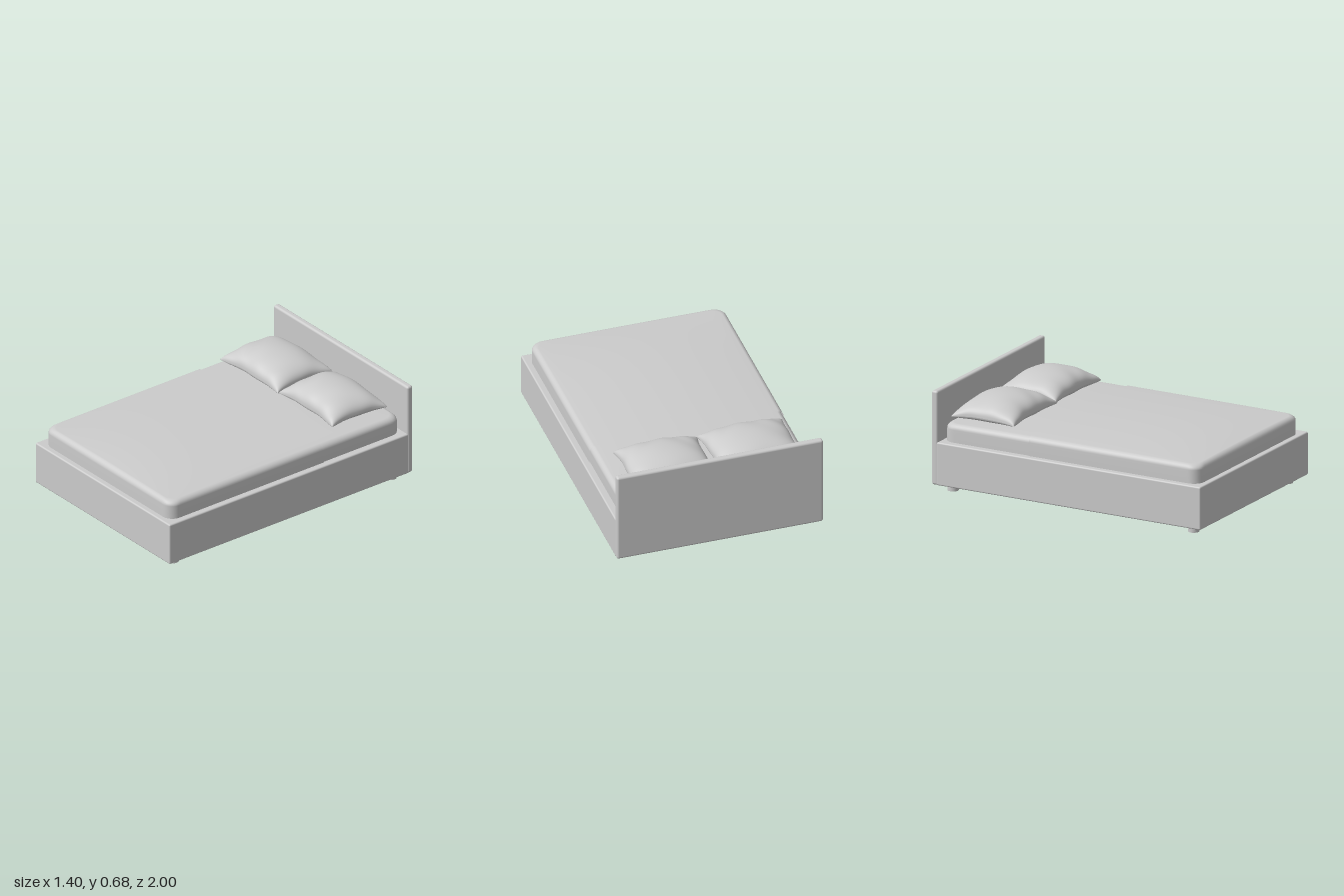
import * as THREE from 'three';
import { RoundedBoxGeometry } from 'three/addons/geometries/RoundedBoxGeometry.js';
import { ParametricGeometry } from 'three/addons/geometries/ParametricGeometry.js';
import { mergeGeometries } from 'three/addons/utils/BufferGeometryUtils.js';

const material = new THREE.MeshStandardMaterial({ color: 0xcccccc });
const clothMaterial = new THREE.MeshStandardMaterial({ color: 0xcccccc, side: THREE.DoubleSide });

function addMesh(parent, name, geometry, x = 0, y = 0, z = 0, mat = material) {
  const mesh = new THREE.Mesh(geometry, mat);
  mesh.name = name;
  mesh.position.set(x, y, z);
  parent.add(mesh);
  return mesh;
}

// Plan outline in (x, z); "open" leaves out the square back end
function outline(hx, z0, z1, r, open) {
  const p = new THREE.Path();
  const H = Math.PI / 2;
  if (open) p.moveTo(-hx, z0);
  else {
    p.moveTo(0, z0);
    p.lineTo(-hx + r, z0);
    p.absarc(-hx + r, z0 + r, r, -H, -Math.PI, true);
  }
  p.lineTo(-hx, z1 - r);
  p.absarc(-hx + r, z1 - r, r, Math.PI, H, true);
  p.lineTo(hx - r, z1 - r + r);
  p.absarc(hx - r, z1 - r, r, H, 0, true);
  if (open) p.lineTo(hx, z0);
  else {
    p.lineTo(hx, z0 + r);
    p.absarc(hx - r, z0 + r, r, 0, -H, true);
    p.lineTo(0, z0);
  }
  return p.getSpacedPoints(240);
}

// Soft slab: rings of the outline rise up the wall, round over and close on a crowned top
function softSlab(hx, z0, z1, corner, bottom, top, open) {
  const pts = outline(hx, z0, z1, corner, open);
  const cz = open ? z0 : (z0 + z1) / 2;
  const hz = z1 - cz;
  const r = 0.035;
  const rings = [[0, bottom], [0, (bottom + top - r) / 2]];
  for (let i = 0; i <= 6; i++) {
    const a = (i / 6) * Math.PI / 2;
    rings.push([r * (1 - Math.cos(a)), top - r + r * Math.sin(a)]);
  }
  for (let i = 1; i <= 12; i++) rings.push([r + (hx - r - 0.001) * i / 12, top]);
  const n = rings.length - 1;

  const geometry = new ParametricGeometry((u, v, target) => {
    const p = pts[Math.round(u * 240)];
    const [inset, y] = rings[Math.round(v * n)];
    const s = 1 - inset / hx;
    const edge = Math.min(inset, r) / r;
    const sx = inset <= r ? (hx - inset) / hx : s;
    const sz = inset <= r ? (hz - inset) / hz : (hz - r) / hz * s / (1 - r / hx);
    const x = p.x * sx;
    const z = cz + (p.y - cz) * sz;
    const crown = 0.028 * (1 - (x / 0.67) ** 2) * (1 - Math.abs(z / 0.97) ** 4);
    target.set(x, y + crown * edge, z);
  }, 240, n);
  geometry.computeVertexNormals();
  return geometry;
}

// Stuffed cushion: two domed sheets meeting at a seam that is pinched between the corners
function pillowGeometry(hx, hz, phase) {
  const sheet = (side) => {
    const g = new ParametricGeometry((a, b, target) => {
      const ta = (a - 0.5) * Math.PI;
      const tb = (0.5 - b) * Math.PI * side;
      const u = Math.sin(ta), v = Math.sin(tb);
      const cu = Math.max(0, Math.cos(ta)), cv = Math.max(0, Math.cos(tb));
      const x = hx * u * (1 - 0.075 * cv * cv + 0.012 * cv * cv * Math.sin(5 * v + phase));
      const z = hz * v * (1 - 0.08 * cu * cu + 0.02 * cu * cu * Math.sin(6 * u + phase));
      const dome = Math.pow(cu * cv, 0.8);
      const folds = 0.006 * Math.sin(9 * u * v + 4 * u + phase) * cu * cv * (u * u + v * v);
      const seam = -0.012 * u * u * v * v;
      const height = side > 0 ? 0.112 * dome + folds : -0.05 * dome;
      target.set(x, seam + height, z);
    }, 36, 36);
    g.computeVertexNormals();
    return g;
  };
  return mergeGeometries([sheet(1), sheet(-1)]);
}

export function createModel() {
  const bed = new THREE.Group();
  bed.name = 'bed';

  // Base and headboard
  addMesh(bed, 'bedFrame', new RoundedBoxGeometry(1.4, 0.29, 1.965, 3, 0.01), 0, 0.19, 0.0175);
  addMesh(bed, 'headboard', new RoundedBoxGeometry(1.4, 0.635, 0.045, 4, 0.015), 0, 0.3625, -0.9775);

  // Four short round feet
  for (const x of [-0.607, 0.607]) {
    for (const z of [-0.892, 0.898]) {
      addMesh(bed, 'foot', new THREE.CylinderGeometry(0.037, 0.037, 0.06, 32), x, 0.03, z);
    }
  }

  // Mattress with a cover drawn over its front two thirds
  addMesh(bed, 'mattress', softSlab(0.652, -0.94, 0.955, 0.07, 0.3, 0.455, false));
  addMesh(bed, 'blanket', softSlab(0.658, -0.3, 0.962, 0.075, 0.32, 0.46, true), 0, 0, 0, clothMaterial);

  // Pair of pillows
  const right = addMesh(bed, 'rightPillow', pillowGeometry(0.293, 0.23, 0.6), -0.315, 0.508, -0.678);
  const left = addMesh(bed, 'leftPillow', pillowGeometry(0.285, 0.222, 2.2), 0.27, 0.508, -0.682);
  right.rotation.y = 0.02;
  left.rotation.y = -0.02;

  return bed;
}
